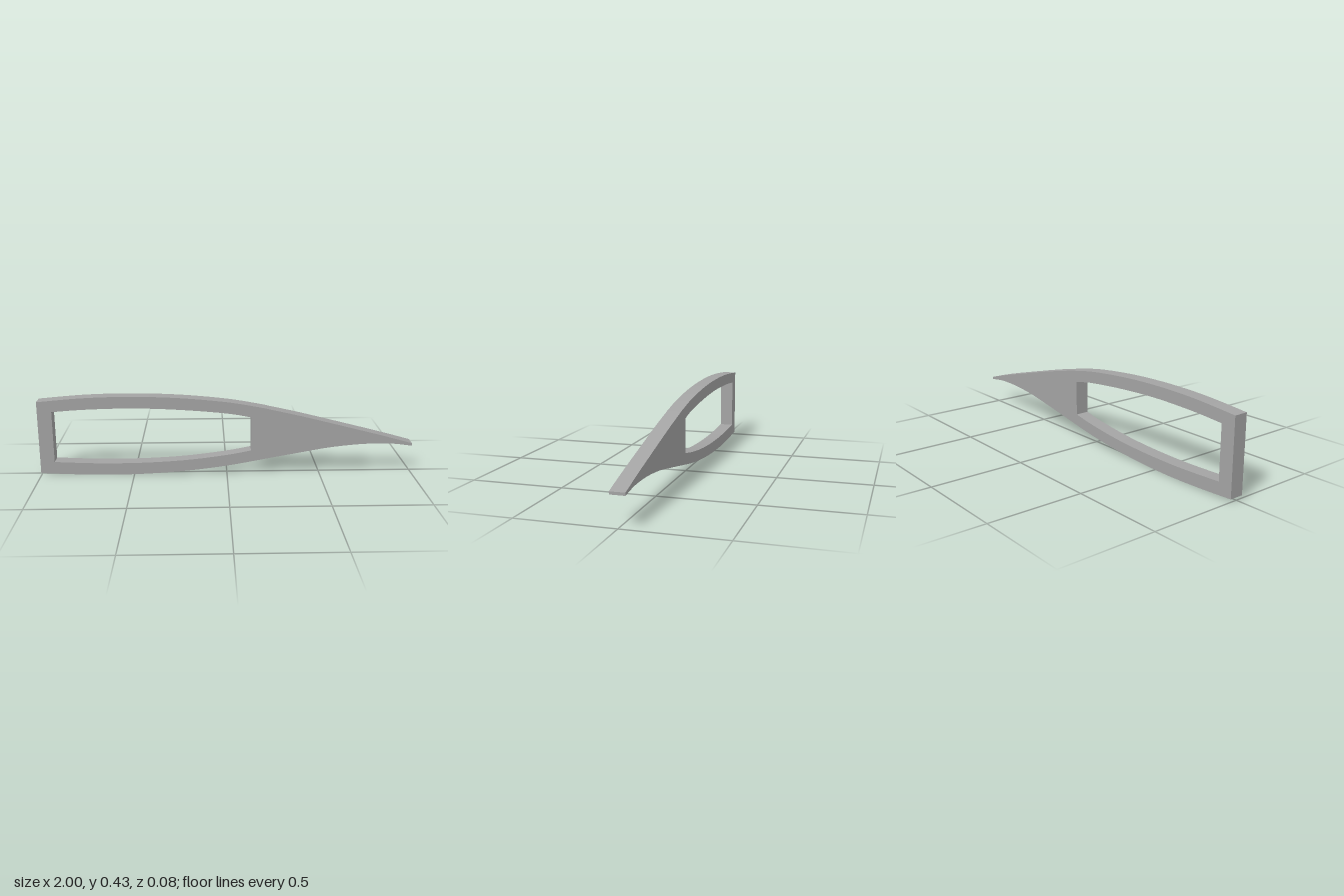
import * as THREE from 'three';

const DEPTH = 0.075;

// Samples a smooth curve through a few [x, y] points
function curve(points, segments) {
  return new THREE.SplineCurve(points.map(([x, y]) => new THREE.Vector2(x, y))).getPoints(segments);
}

// Closed outline from an upper and a lower edge, both running along +x
function outline(upper, lower) {
  return [...lower, ...upper.slice().reverse()];
}

function plate(name, points, holes, material) {
  const shape = new THREE.Shape(points);
  holes.forEach((h) => shape.holes.push(new THREE.Path(h)));
  const geometry = new THREE.ExtrudeGeometry(shape, { depth: DEPTH, bevelEnabled: false });
  geometry.translate(0, 0, -DEPTH / 2);
  const mesh = new THREE.Mesh(geometry, material);
  mesh.name = name;
  return mesh;
}

export function createModel() {
  const group = new THREE.Group();
  group.name = 'wingRib';
  const grey = new THREE.MeshStandardMaterial({ color: 0xa3a3a3 });
  grey.name = 'grey';

  // Main rib frame with its large opening
  const frameTop = curve([[-1, 0.41], [-0.75, 0.43], [-0.5, 0.435], [-0.25, 0.426], [0, 0.402], [0.18, 0.371], [0.228, 0.36]], 28);
  const frameBottom = curve([[-1, 0.015], [-0.8, 0.005], [-0.6, 0.001], [-0.4, 0.007], [-0.2, 0.022], [0, 0.047], [0.18, 0.079], [0.228, 0.088]], 28);
  const holeTop = curve([[-0.924, 0.355], [-0.75, 0.367], [-0.5, 0.372], [-0.25, 0.362], [0, 0.34], [0.13, 0.317]], 22);
  const holeBottom = curve([[-0.924, 0.077], [-0.75, 0.069], [-0.6, 0.066], [-0.4, 0.07], [-0.2, 0.083], [0, 0.108], [0.13, 0.132]], 22);
  group.add(plate('ribFrame', outline(frameTop, frameBottom), [outline(holeTop, holeBottom)], grey));

  // Solid tapering tail with a curved underside
  const tailTop = curve([[0.228, 0.36], [0.4, 0.321], [0.68, 0.25], [0.85, 0.206], [1, 0.164]], 16);
  const tailBottom = curve([[0.228, 0.088], [0.4, 0.119], [0.55, 0.145], [0.7, 0.161], [0.8, 0.165], [0.9, 0.163], [1, 0.15]], 20);
  group.add(plate('tailPiece', outline(tailTop, tailBottom), [], grey));

  return group;
}
